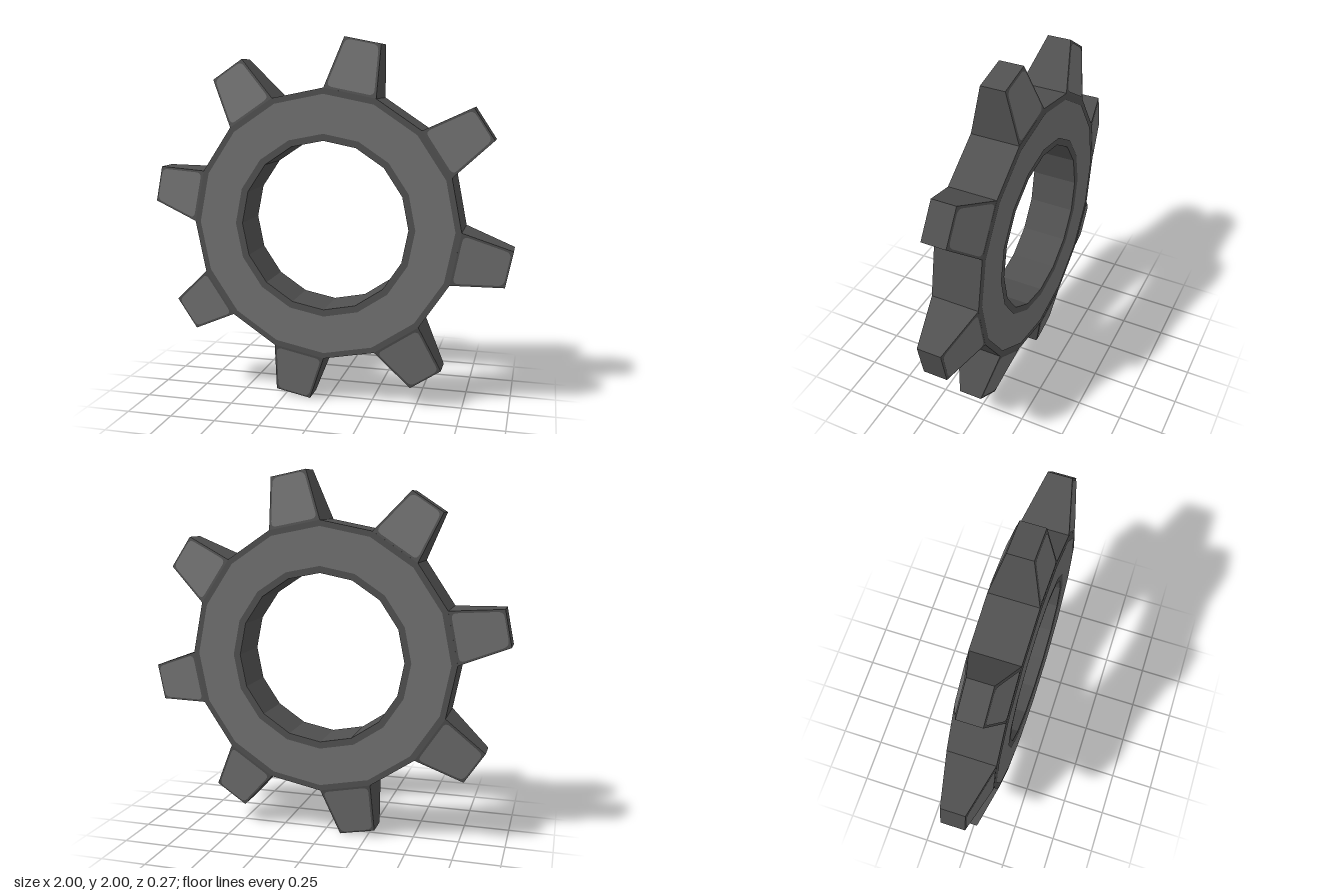
import * as THREE from 'three';

const SIDES = 16, TEETH = 8;
const OUTER = 0.737, HOLE = 0.46, HALF_DEPTH = 0.13;
const BASE_Y = OUTER * Math.cos(Math.PI / SIDES) - 0.002, TIP_Y = 1.0;
const BASE_HALF = OUTER * Math.sin(Math.PI / SIDES), TIP_HALF = 0.1, TIP_DEPTH = 0.065;
const LIFT = 0.003;

function polygon(radius) {
  return Array.from({ length: SIDES }, (_, i) => {
    const a = (i / SIDES) * Math.PI * 2;
    return new THREE.Vector2(Math.cos(a) * radius, Math.sin(a) * radius);
  });
}

// Sixteen-sided ring outline with a matching hole
function ringShape(outer, inner) {
  const shape = new THREE.Shape(polygon(outer));
  shape.holes.push(new THREE.Path(polygon(inner)));
  return shape;
}

// Polygon with softly rounded corners
function roundedShape(points, radius) {
  const shape = new THREE.Shape();
  points.forEach((p, i) => {
    const before = points[(i + points.length - 1) % points.length];
    const after = points[(i + 1) % points.length];
    const a = p.clone().add(before.clone().sub(p).setLength(radius));
    const b = p.clone().add(after.clone().sub(p).setLength(radius));
    if (i === 0) shape.moveTo(a.x, a.y);
    else shape.lineTo(a.x, a.y);
    shape.quadraticCurveTo(p.x, p.y, b.x, b.y);
  });
  shape.closePath();
  return shape;
}

const along = (y) => (y - BASE_Y) / (TIP_Y - BASE_Y);
const halfWidth = (y) => THREE.MathUtils.lerp(BASE_HALF, TIP_HALF, along(y));
const halfDepth = (y) => THREE.MathUtils.lerp(HALF_DEPTH, TIP_DEPTH, along(y));

// Tooth block tapering in width and depth toward its tip
function toothGeometry() {
  const geo = new THREE.BoxGeometry(2, TIP_Y - BASE_Y, 2);
  geo.translate(0, (TIP_Y + BASE_Y) / 2, 0);
  const p = geo.attributes.position;
  for (let i = 0; i < p.count; i++) {
    const y = p.getY(i);
    p.setXYZ(i, p.getX(i) * halfWidth(y), y, p.getZ(i) * halfDepth(y));
  }
  geo.computeVertexNormals();
  return geo;
}

// Thin panel lying on the sloping face of a tooth
function toothPanelGeometry() {
  const low = BASE_Y + 0.014, high = TIP_Y - 0.01, margin = 0.012;
  const wl = halfWidth(low) - margin, wh = halfWidth(high) - margin;
  const outline = [[-wl, low], [wl, low], [wh, high], [-wh, high]]
    .map(([x, y]) => new THREE.Vector2(x, y));
  const geo = new THREE.ShapeGeometry(roundedShape(outline, 0.03), 4);
  const p = geo.attributes.position;
  for (let i = 0; i < p.count; i++) p.setZ(i, halfDepth(p.getY(i)) + LIFT);
  geo.computeVertexNormals();
  return geo;
}

export function createModel() {
  const darkGrey = new THREE.MeshStandardMaterial({ color: 0x505050 });
  darkGrey.name = 'darkGrey';
  const midGrey = new THREE.MeshStandardMaterial({ color: 0x707070 });
  midGrey.name = 'midGrey';

  const model = new THREE.Group();
  model.name = 'gear';
  const add = (parent, name, geo, mat) => {
    const mesh = new THREE.Mesh(geo, mat);
    mesh.name = name;
    parent.add(mesh);
    return mesh;
  };

  // Ring body
  const ringGeo = new THREE.ExtrudeGeometry(ringShape(OUTER, HOLE), {
    depth: HALF_DEPTH * 2, bevelEnabled: false,
  });
  ringGeo.translate(0, 0, -HALF_DEPTH);
  add(model, 'ringBody', ringGeo, darkGrey);

  // Lighter ring faces, front and back
  const panelGeo = new THREE.ShapeGeometry(ringShape(OUTER - 0.032, HOLE + 0.037));
  panelGeo.translate(0, 0, HALF_DEPTH + LIFT);
  add(model, 'ringPanelFront', panelGeo, midGrey);
  add(model, 'ringPanelBack', panelGeo, midGrey).rotation.y = Math.PI;

  // Teeth on every second side of the ring
  const toothGeo = toothGeometry();
  const toothPanelGeo = toothPanelGeometry();
  for (let i = 0; i < TEETH; i++) {
    const tooth = new THREE.Group();
    tooth.name = `tooth${i + 1}`;
    add(tooth, 'toothBlock', toothGeo, darkGrey);
    add(tooth, 'toothPanelFront', toothPanelGeo, midGrey);
    add(tooth, 'toothPanelBack', toothPanelGeo, midGrey).rotation.y = Math.PI;
    tooth.rotation.z = -Math.PI / SIDES - (i / TEETH) * Math.PI * 2;
    model.add(tooth);
  }

  model.position.y = 1;
  return model;
}
